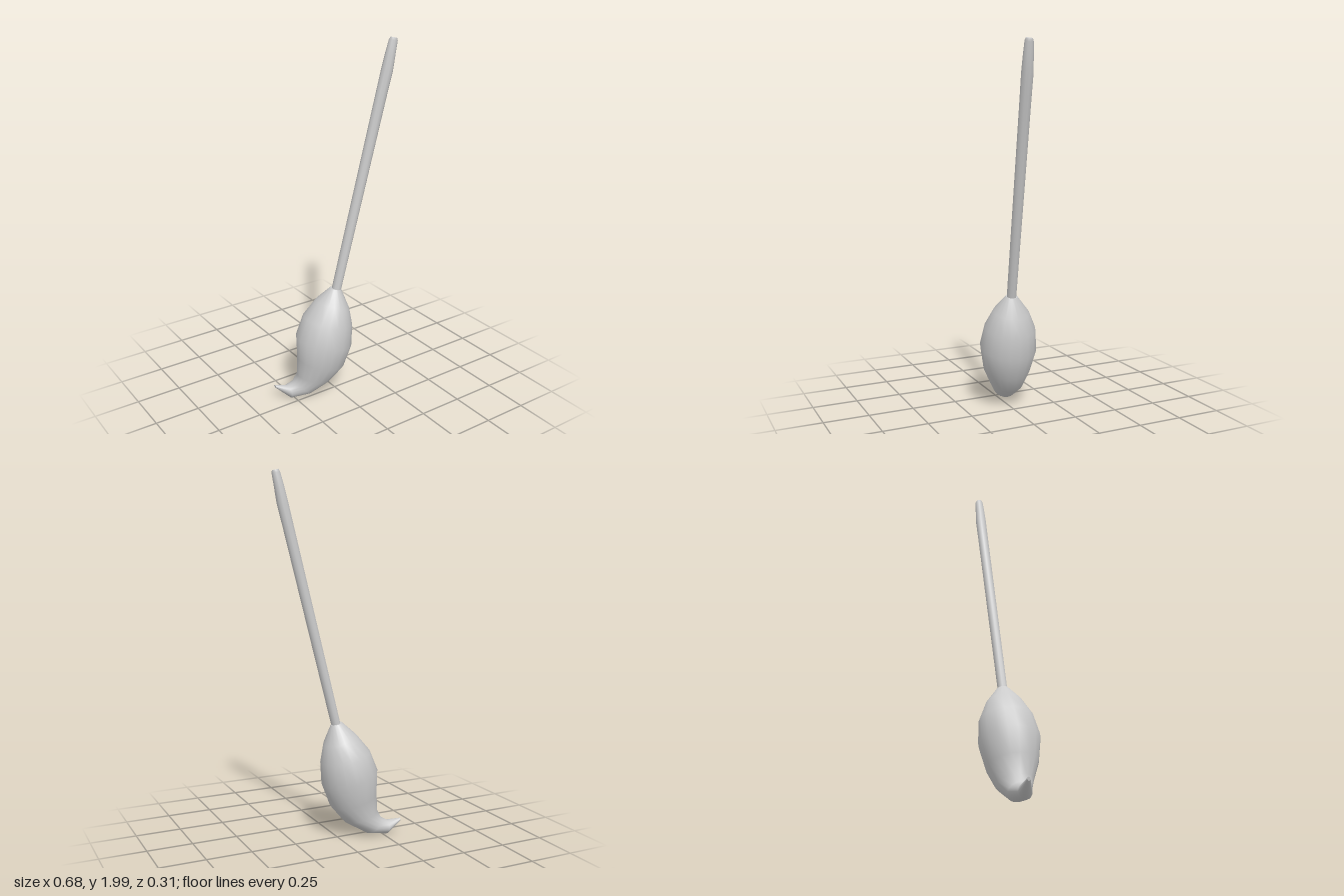
import * as THREE from 'three';

const material = new THREE.MeshStandardMaterial({ color: 0xcccccc, roughness: 0.7 });

// Lofts elliptical rings, listed from top to bottom, with flat sharp-edged caps.
// Ring: [left x, left y, right x, right y, centre z, half depth]
function loft(name, sections, sides) {
  const collapse = ([lx, ly, rx, ry, z]) => {
    const x = (lx + rx) / 2, y = (ly + ry) / 2;
    return [x, y, x, y, z, 0];
  };
  const first = sections[0], last = sections[sections.length - 1];
  const rings = [collapse(first), first, ...sections, last, collapse(last)];
  const positions = [], indices = [];
  rings.forEach(([lx, ly, rx, ry, z, depth], i) => {
    for (let j = 0; j < sides; j++) {
      const a = (j / sides) * Math.PI * 2, c = Math.cos(a);
      positions.push(
        (lx + rx) / 2 + (c * (rx - lx)) / 2,
        (ly + ry) / 2 + (c * (ry - ly)) / 2,
        z + Math.sin(a) * depth
      );
      if (i === rings.length - 1 || i === 1 || i === rings.length - 3) continue;
      const k = (j + 1) % sides, p = i * sides, q = p + sides;
      indices.push(p + j, p + k, q + j, p + k, q + k, q + j);
    }
  });
  const geometry = new THREE.BufferGeometry();
  geometry.setAttribute('position', new THREE.Float32BufferAttribute(positions, 3));
  geometry.setIndex(indices);
  geometry.computeVertexNormals();
  const mesh = new THREE.Mesh(geometry, material);
  mesh.name = name;
  return mesh;
}

export function createModel() {
  const group = new THREE.Group();
  group.name = 'brush';

  // Slim leaning handle: centre and radius, each ring square to its tilt
  const handle = [
    [0.318, 1.992, 0.068, 0.018],
    [0.315, 1.978, 0.067, 0.023],
    [0.3, 1.91, 0.064, 0.027],
    [0.284, 1.83, 0.061, 0.031],
    [0.255, 1.71, 0.056, 0.03],
    [0, 0.635, 0.014, 0.026],
  ].map(([x, y, z, r]) => [x - 0.973 * r, y + 0.23 * r, x + 0.973 * r, y - 0.23 * r, z, r]);
  group.add(loft('handle', handle, 10));

  // Full bristle head that sweeps sideways into an upturned tip
  group.add(loft('bristles', [
    [-0.032, 0.653, 0.03, 0.639, 0.012, 0.032],
    [-0.108, 0.585, 0.07, 0.53, 0.006, 0.1],
    [-0.182, 0.495, 0.088, 0.43, 0, 0.142],
    [-0.23, 0.38, 0.08, 0.305, 0, 0.157],
    [-0.23, 0.25, 0.033, 0.18, 0, 0.13],
    [-0.23, 0.145, -0.04, 0.09, -0.015, 0.092],
    [-0.245, 0.1, -0.16, 0.018, -0.038, 0.068],
    [-0.28, 0.08, -0.27, 0.005, -0.062, 0.043],
    [-0.345, 0.092, -0.342, 0.074, -0.093, 0.01],
  ], 18));

  return group;
}
